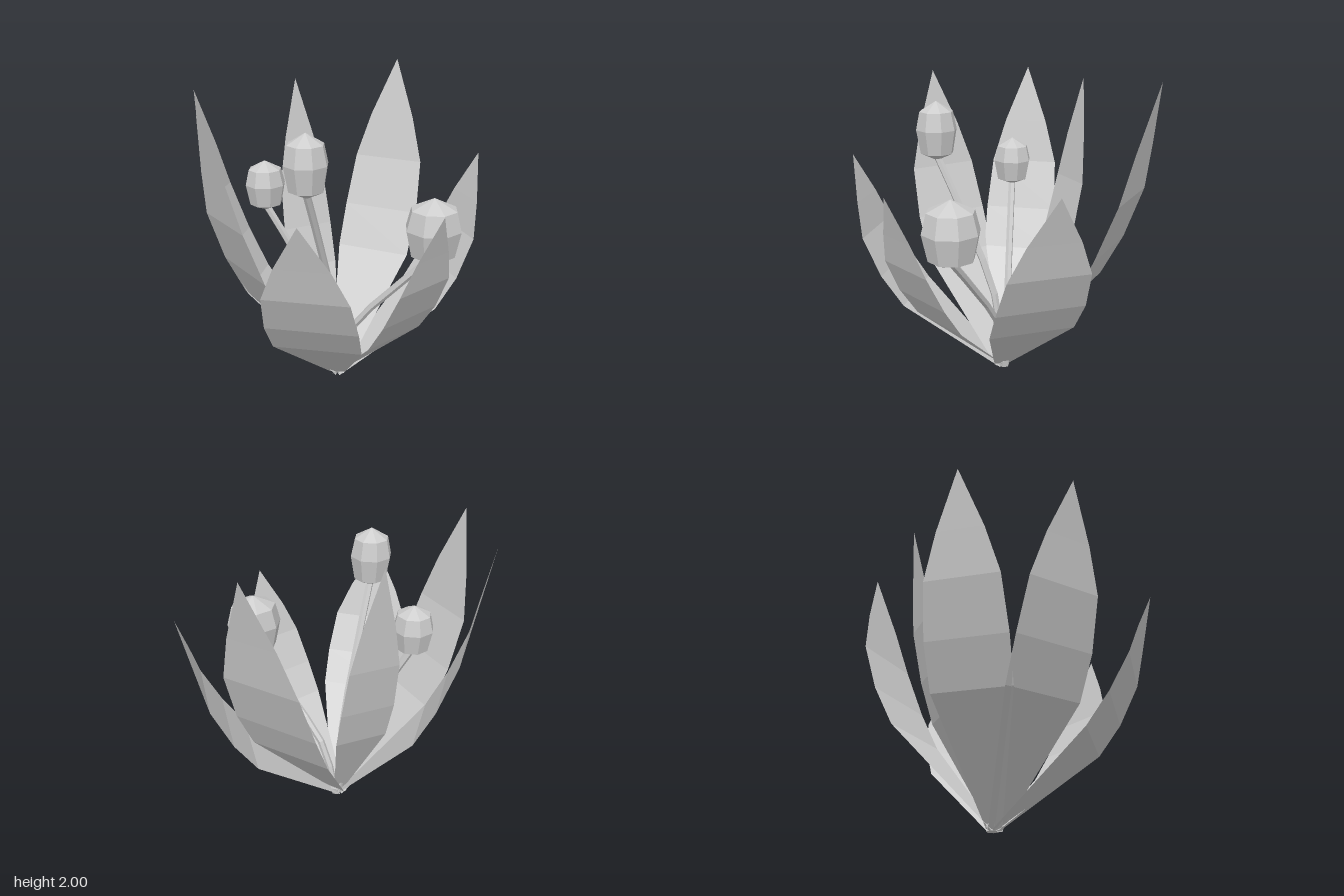
import * as THREE from 'three';

const plantGrey = new THREE.MeshStandardMaterial({ color: 0xcccccc, flatShading: true, side: THREE.DoubleSide });
plantGrey.name = 'plantGrey';

const ROOT = new THREE.Vector3(-0.06, 0, -0.05);

// Leaf rows from root to tip: [height, outward reach, half width] as fractions
const LEAF_ROWS = [
  [0, 0, 0.18], [0.347, 0.594, 0.97], [0.485, 0.735, 1],
  [0.655, 0.86, 0.91], [0.805, 0.92, 0.58], [1, 1, 0],
];

// Tip position and greatest half width of each leaf
const LEAVES = [
  { tip: [0.94, 1.47, -0.05], width: 0.28 },
  { tip: [0.645, 2.0, -0.76], width: 0.273 },
  { tip: [-0.145, 1.93, -0.63], width: 0.175 },
  { tip: [-0.84, 1.92, -0.5], width: 0.25 },
  { tip: [-0.94, 1.91, 0.18], width: 0.26 },
  { tip: [-0.57, 1.43, 0.82], width: 0.28 },
  { tip: [0.295, 1.365, 0.77], width: 0.235 },
];

// Bud foot, height and radius, plus where its stem starts
const BUDS = [
  { foot: [-0.36, 1.4, 0.3], height: 0.39, radius: 0.135, start: [-0.05, 0.02, -0.06] },
  { foot: [-0.465, 1.17, -0.255], height: 0.325, radius: 0.128, start: [-0.05, 0.02, -0.08] },
  { foot: [0.405, 0.94, 0.41], height: 0.415, radius: 0.178, start: [-0.03, 0.02, -0.06] },
];

function addMesh(parent, geometry, name) {
  const mesh = new THREE.Mesh(geometry, plantGrey);
  mesh.name = name;
  parent.add(mesh);
  return mesh;
}

// A strip that is flat across and bends upward along its length
function leafGeometry({ tip, width }) {
  const reach = new THREE.Vector3(tip[0] - ROOT.x, 0, tip[2] - ROOT.z);
  const side = new THREE.Vector3(-reach.z, 0, reach.x).normalize();
  const positions = [];
  const index = [];
  LEAF_ROWS.forEach(([h, r, w], i) => {
    for (const s of [-1, 1]) {
      const p = ROOT.clone().addScaledVector(reach, r).addScaledVector(side, s * w * width);
      positions.push(p.x, h * tip[1], p.z);
    }
    if (i > 0) {
      const a = (i - 1) * 2;
      index.push(a, a + 2, a + 1);
      if (w > 0) index.push(a + 1, a + 2, a + 3);
    }
  });
  const geometry = new THREE.BufferGeometry();
  geometry.setAttribute('position', new THREE.Float32BufferAttribute(positions, 3));
  geometry.setIndex(index);
  geometry.computeVertexNormals();
  return geometry;
}

// Faceted barrel with pointed ends
function budGeometry(height, radius) {
  const profile = [[0, 0], [0.8, 0.13], [1, 0.53], [0.82, 0.83], [0, 1]];
  return new THREE.LatheGeometry(profile.map(([r, y]) => new THREE.Vector2(r * radius, y * height)), 8);
}

// Six-sided stem that rises steeply, then leans out to the bud
function stemGeometry(start, foot) {
  const a = new THREE.Vector3(...start);
  const b = new THREE.Vector3(...foot);
  b.y += 0.03;
  const at = (t, h) => new THREE.Vector3().lerpVectors(a, b, t).setY(a.y + (b.y - a.y) * h);
  const curve = new THREE.CatmullRomCurve3([a, at(0.15, 0.36), at(0.6, 0.72), b]);
  return new THREE.TubeGeometry(curve, 6, 0.024, 6, false);
}

export function createModel() {
  const plant = new THREE.Group();
  plant.name = 'plant';

  const leaves = new THREE.Group();
  leaves.name = 'leaves';
  for (const leaf of LEAVES) addMesh(leaves, leafGeometry(leaf), 'leaf');
  plant.add(leaves);

  for (const { foot, height, radius, start } of BUDS) {
    const stalk = new THREE.Group();
    stalk.name = 'buddingStem';
    addMesh(stalk, stemGeometry(start, foot), 'stem');
    addMesh(stalk, budGeometry(height, radius), 'bud').position.set(...foot);
    plant.add(stalk);
  }

  // Small knot where the stems meet
  addMesh(plant, new THREE.CylinderGeometry(0.045, 0.035, 0.05, 6), 'rootKnot').position.set(-0.04, 0.025, -0.06);

  return plant;
}
